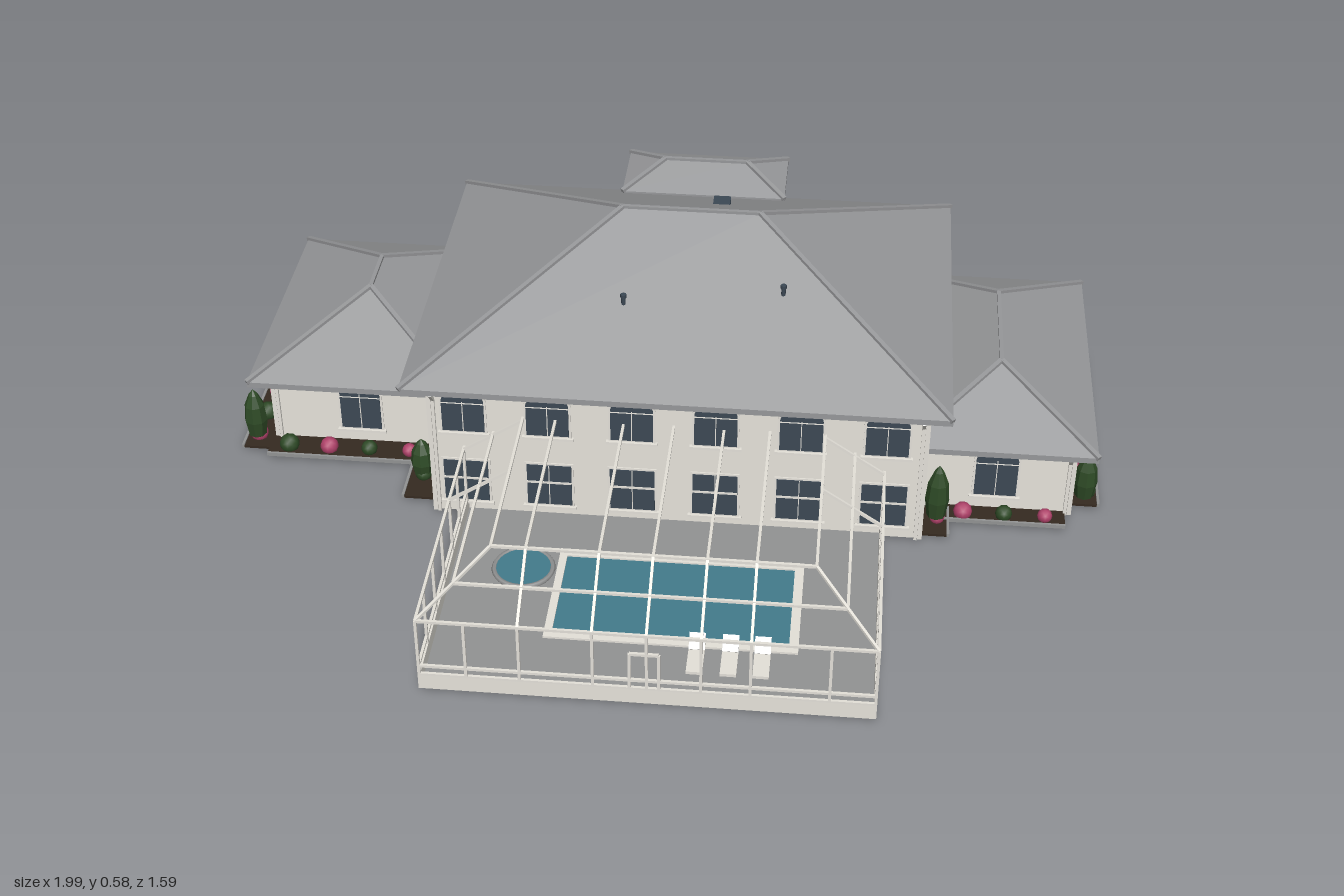
import * as THREE from 'three';

export function createModel() {
  const root = new THREE.Group();
  const mat = (name, color, side = THREE.FrontSide) => {
    const m = new THREE.MeshStandardMaterial({ color, side });
    m.name = name;
    return m;
  };
  const M = {
    wall: mat('stucco', 0xe6e3db, THREE.DoubleSide), roof: mat('roofSlate', 0x97989a),
    trim: mat('trim', 0xe4e1d9), deck: mat('paving', 0x929393),
    glass: mat('glass', 0x3c4854), water: mat('water', 0x437b8c),
    leaf: mat('foliage', 0x2e4a26), pink: mat('blossom', 0xb0426a),
    soil: mat('soil', 0x352a20), wood: mat('doorWood', 0x5f4530),
  };
  const add = (name, geo, m, x = 0, y = 0, z = 0, parent = root) => {
    const mesh = new THREE.Mesh(geo, m);
    mesh.name = name;
    mesh.position.set(x, y, z);
    parent.add(mesh);
    return mesh;
  };
  // box given by its limits
  const box = (name, x0, x1, y0, y1, z0, z1, m, parent = root) =>
    add(name, new THREE.BoxGeometry(x1 - x0, y1 - y0, z1 - z0), m,
      (x0 + x1) / 2, (y0 + y1) / 2, (z0 + z1) / 2, parent);
  const group = (name, x, y, z, rot) => {
    const g = new THREE.Group();
    g.name = name;
    g.position.set(x, y, z);
    g.rotation.y = rot;
    root.add(g);
    return g;
  };
  // straight square bar between two points
  const bar = (name, a, b, t, m, parent = root) => {
    const p = new THREE.Vector3(...a), q = new THREE.Vector3(...b);
    const mid = p.clone().add(q).multiplyScalar(0.5);
    add(name, new THREE.BoxGeometry(t, t, p.distanceTo(q)), m, mid.x, mid.y, mid.z, parent).lookAt(q);
  };

  // open-bottomed wall shells with corner trim
  function walls(name, x0, x1, z0, z1, h) {
    const mesh = box(name, x0, x1, 0, h, z0, z1, M.wall), i = Array.from(mesh.geometry.index.array);
    mesh.geometry.setIndex([...i.slice(0, 12), ...i.slice(24)]);
    mesh.geometry.clearGroups();
    for (const x of [x0, x1]) for (const z of [z0, z1])
      box('cornerTrim', x - 0.005, x + 0.005, 0, h, z - 0.005, z + 0.005, M.trim);
  }
  // hipped roof: slate slopes and fascia, pale soffit, ridge caps
  function hipRoof(name, x0, x1, z0, z1, y0, y2) {
    const y1 = y0 + 0.014, r = Math.min(x1 - x0, z1 - z0) / 2, alongX = x1 - x0 > z1 - z0;
    const base = [[x0, z1], [x1, z1], [x1, z0], [x0, z0]];
    const A = [x0 + r, y2, z1 - r], B = [x1 - r, y2, z0 + r];
    const tops = alongX ? [[A, B], [B], [B, A], [A]] : [[A], [A, B], [B], [B, A]];
    const pos = [];
    const face = (...p) => {
      for (let i = 1; i < p.length - 1; i++) pos.push(...p[0], ...p[i], ...p[i + 1]);
    };
    const at = (i, y) => [base[i % 4][0], y, base[i % 4][1]];
    for (let i = 0; i < 4; i++) {
      face(at(i, y0), at(i + 1, y0), at(i + 1, y1), at(i, y1));
      face(at(i, y1), at(i + 1, y1), ...[...tops[i]].reverse());
    }
    const outside = pos.length / 3;
    face(at(3, y0), at(2, y0), at(1, y0), at(0, y0));
    const g = new THREE.BufferGeometry();
    g.setAttribute('position', new THREE.Float32BufferAttribute(pos, 3));
    g.addGroup(0, outside, 0);
    g.addGroup(outside, 6, 1);
    g.computeVertexNormals();
    add(name, g, [M.roof, M.trim]);
    bar('ridgeCap', A, B, 0.009, M.roof);
    for (let i = 0; i < 4; i++) bar('hipCap', at(i, y1), (alongX ? i % 3 === 0 : i < 2) ? A : B, 0.011, M.roof);
  }
  walls('mainWalls', -0.5, 0.59, -0.605, 0.21, 0.345);
  hipRoof('mainRoof', -0.56, 0.64, -0.65, 0.24, 0.335, 0.57);
  walls('garageWalls', -0.92, -0.5, -0.565, -0.02, 0.178);
  hipRoof('garageRoof', -0.967, -0.47, -0.605, 0.025, 0.172, 0.305);
  walls('sideWingWalls', 0.59, 0.925, -0.55, 0.09, 0.178);
  hipRoof('sideWingRoof', 0.54, 0.972, -0.59, 0.125, 0.172, 0.285);
  walls('entryWalls', -0.13, 0.205, -0.73, -0.605, 0.388);
  hipRoof('entryRoof', -0.16, 0.235, -0.76, -0.565, 0.382, 0.437);
  box('entryStep', -0.04, 0.12, 0, 0.012, -0.8, -0.73, M.deck);

  // downspouts with an elbow up to the eaves: x, wall z, outward direction, eave height
  for (const [x, z, d, h] of [[-0.49, 0.21, 1, 0.335], [0.58, 0.21, 1, 0.335], [-0.91, -0.02, 1, 0.172],
    [0.915, 0.09, 1, 0.172], [0.915, -0.55, -1, 0.172], [-0.12, -0.73, -1, 0.382], [0.195, -0.73, -1, 0.382],
    [0.58, -0.605, -1, 0.335], [-0.49, -0.605, -1, 0.335]]) {
    bar('downspout', [x, 0, z + d * 0.005], [x, h - 0.025, z + d * 0.005], 0.007, M.trim);
    bar('downspoutElbow', [x, h - 0.026, z + d * 0.005], [x, h, z + d * 0.027], 0.007, M.trim);
  }

  // roof vents
  for (const [x, y, z] of [[-0.09, 0.46, 0.02], [0.26, 0.48, -0.02]]) {
    add('ventPipe', new THREE.CylinderGeometry(0.005, 0.005, 0.04, 8), M.glass, x, y, z);
    add('ventCap', new THREE.CylinderGeometry(0.007, 0.007, 0.008, 8), M.glass, x, y + 0.018, z);
  }
  box('roofVent', 0.075, 0.115, 0.44, 0.48, -0.425, -0.385, M.glass);

  // windows: flat or arched, facing local +z
  function pane(name, w, h, rise, depth, m, y, parent) {
    const s = new THREE.Shape();
    s.moveTo(-w / 2, 0);
    s.lineTo(w / 2, 0);
    s.lineTo(w / 2, h - rise);
    if (rise) s.absellipse(0, h - rise, w / 2, rise, 0, Math.PI, false);
    else s.lineTo(-w / 2, h);
    add(name, new THREE.ExtrudeGeometry(s, { depth, bevelEnabled: false, curveSegments: 12 }), m, 0, y, 0.001, parent);
  }
  function win(x, y, z, rot, w, h, rise, cols, split, rail) {
    const g = group('window', x, y, z, rot);
    pane('windowFrame', w + 0.01, h + 0.01, rise && rise + 0.005, 0.003, M.trim, -0.005, g);
    pane('windowGlass', w, h, rise, 0.005, M.glass, 0, g);
    for (let i = 1; i < cols; i++) {
      const mx = -w / 2 + w * i / cols;
      box('mullion', mx - 0.001, mx + 0.001, 0, h - rise, 0.005, 0.008, M.trim, g);
    }
    box('transom', -w / 2, w / 2, h * split - rail / 2, h * split + rail / 2, 0.005, 0.008, M.trim, g);
    box('sill', -w / 2 - 0.01, w / 2 + 0.01, -0.01, -0.004, 0.001, 0.01, M.trim, g);
  }
  const BACK = Math.PI, R = Math.PI / 2;
  const arched = (x, y, z) => win(x, y, z, 0, 0.094, y > 0.2 ? 0.105 : 0.122, 0.026, 2, 0.72, 0.0015);
  const sash = (x, y, z, rot) => win(x, y, z, rot, 0.067, 0.09, 0, 1, 0.5, 0.007);
  for (const x of [-0.425, -0.238, -0.052, 0.132, 0.318, 0.505]) {
    arched(x, 0.228, 0.21);
    win(x, 0.037, 0.21, 0, 0.1, 0.108, 0, 2, 0.57, 0.005);
  }
  arched(-0.715, 0.045, -0.02);
  arched(0.755, 0.045, 0.09);
  for (const z of [-0.07, -0.385]) sash(0.925, 0.056, z, R);
  for (const z of [-0.15, -0.42]) sash(-0.92, 0.056, z, -R);
  for (const y of [0.056, 0.262]) {
    for (const x of [-0.4, -0.23, 0.31, 0.48]) sash(x, y, -0.605, BACK);
    sash(0.205, y, -0.662, R);
    sash(-0.13, y, -0.662, -R);
  }
  sash(0.755, 0.056, -0.55, BACK);

  // arched front door with glazed surround
  const door = group('entryDoor', 0.038, 0.012, -0.73, BACK);
  pane('doorSurround', 0.13, 0.168, 0.054, 0.006, M.trim, 0, door);
  pane('doorGlazing', 0.114, 0.16, 0.05, 0.008, M.glass, 0, door);
  for (const s of [-1, 1]) box('doorLeaf', s * 0.0195 - 0.018, s * 0.0195 + 0.018, 0, 0.108, 0.001, 0.013, M.wood, door);
  // garage doors framed by proud trim
  for (const x of [-0.81, -0.62]) {
    const g = group('garageDoor', x, 0, -0.565, BACK);
    box('garagePanel', -0.08, 0.08, 0, 0.135, 0.001, 0.004, M.wall, g);
    box('garageLintel', -0.088, 0.088, 0.132, 0.142, 0.001, 0.01, M.trim, g);
    for (const s of [-1, 1]) box('garageJamb', s * 0.083 - 0.005, s * 0.083 + 0.005, 0, 0.132, 0.001, 0.01, M.trim, g);
  }
  // wall lanterns
  for (const [x, y, z] of [[-0.91, 0.12, -0.572], [-0.715, 0.12, -0.572], [-0.525, 0.12, -0.572],
    [-0.06, 0.12, -0.737], [0.136, 0.12, -0.737]])
    box('lantern', x - 0.005, x + 0.005, y - 0.01, y + 0.01, z - 0.007, z + 0.006, M.glass);

  // pool terrace with an opening for the water
  const DX0 = -0.427, DX1 = 0.503, DZ = 0.79;
  const rect = (T, x0, x1, z0, z1) =>
    new T([[x0, -z0], [x1, -z0], [x1, -z1], [x0, -z1]].map(p => new THREE.Vector2(...p)));
  const deck = rect(THREE.Shape, DX0, DX1, 0.21, DZ);
  deck.holes.push(rect(THREE.Path, -0.18, 0.32, 0.36, 0.605));
  add('terrace', new THREE.ExtrudeGeometry(deck, { depth: 0.008, bevelEnabled: false }), M.deck).rotation.x = -R;
  box('poolWater', -0.18, 0.32, 0.001, 0.009, 0.36, 0.605, M.water);
  for (const [a, b, c, d] of [[-0.197, 0.34, 0.338, 0.36], [-0.197, 0.34, 0.605, 0.627],
    [-0.197, -0.18, 0.36, 0.605], [0.32, 0.34, 0.36, 0.605]])
    box('poolCoping', a, b, 0.002, 0.013, c, d, M.trim);
  add('spaWater', new THREE.CylinderGeometry(0.062, 0.062, 0.01, 28), M.water, -0.27, 0.01, 0.41);
  add('spaCoping', new THREE.TorusGeometry(0.064, 0.006, 6, 28), M.deck, -0.27, 0.012, 0.41).rotation.x = R;
  // loungers
  for (const x of [0.13, 0.2, 0.267]) {
    box('loungerSeat', x - 0.017, x + 0.017, 0.02, 0.027, 0.65, 0.72, M.trim);
    bar('loungerBase', [x, 0.008, 0.69], [x, 0.022, 0.69], 0.02, M.trim);
    const back = box('loungerBack', x - 0.017, x + 0.017, 0.022, 0.028, 0.62, 0.656, M.trim);
    back.rotation.x = 0.7;
    back.position.y = 0.038;
  }

  // pool enclosure: posts, sloped rafters and flat top
  const cage = group('poolEnclosure', 0, 0, 0, 0);
  const IX0 = -0.292, IX1 = 0.37, IZ = 0.65, LOW = 0.18, TOP = 0.27, T = 0.006;
  const beam = (a, b) => bar('enclosureBar', a, b, T, M.trim, cage);
  for (const [y, x0, x1, z] of [[0.038, DX0, DX1, DZ], [0.06, DX0, DX1, DZ], [LOW, DX0, DX1, DZ],
    [0.225, (DX0 + IX0) / 2, (DX1 + IX1) / 2, (DZ + IZ) / 2], [TOP, IX0, IX1, IZ]]) {
    beam([x0, y, z], [x1, y, z]);
    for (const x of [x0, x1]) beam([x, y, 0.21], [x, y, z]);
  }
  for (const [x, ix] of [[DX0, IX0], [DX1, IX1]]) {
    for (const z of [0.22, 0.31, 0.4, 0.5, 0.6, 0.7, DZ]) beam([x, 0, z], [x, LOW, z]);
    for (const z of [0.22, 0.4]) beam([x, LOW, z], [ix, TOP, z]);
    beam([x, LOW, DZ], [ix, TOP, IZ]);
    box('kickPanel', x - 0.003, x + 0.003, 0, 0.036, 0.21, DZ, M.wall, cage);
  }
  box('kickPanel', DX0, DX1, 0, 0.036, DZ - 0.003, DZ + 0.003, M.wall, cage);
  for (const x of [-0.33, -0.22, -0.07, 0.04, 0.15, 0.25, 0.41]) {
    beam([x, 0, DZ], [x, LOW, DZ]);
    if (x > IX0 && x < IX1) {
      beam([x, LOW, DZ], [x, TOP, IZ]);
      beam([x, TOP, 0.21], [x, TOP, IZ]);
    }
  }
  for (const x of [0.005, 0.065]) beam([x, 0, DZ], [x, 0.13, DZ]);
  beam([0.005, 0.13, DZ], [0.065, 0.13, DZ]);

  // planting beds: x0, x1, z0, z1
  const beds = [[-0.5, -0.13, -0.68, -0.605], [0.205, 0.59, -0.68, -0.605], [0.6, 0.92, -0.62, -0.55],
    [0.925, 0.99, -0.53, 0.06], [-0.99, -0.92, -0.56, 0.03], [-0.93, -0.55, -0.02, 0.05],
    [0.64, 0.915, 0.09, 0.14], [-0.58, -0.5, 0.03, 0.18], [0.59, 0.65, 0.1, 0.2]];
  const bush = new THREE.IcosahedronGeometry(0.019, 1);
  beds.forEach(([x0, x1, z0, z1], k) => {
    box('plantingBed', x0, x1, 0, 0.006, z0, z1, M.soil);
    const alongX = x1 - x0 > z1 - z0, len = Math.max(x1 - x0, z1 - z0), n = Math.floor(len / 0.078);
    if (!alongX) {
      const x = x0 < 0 ? x0 - 0.006 : x1;
      box('bedEdging', x, x + 0.006, 0, 0.009, z0, z1, M.deck);
    } else {
      const z = z0 < -0.5 ? z0 - 0.006 : z1;
      box('bedEdging', x0, x1, 0, 0.009, z, z + 0.006, M.deck);
    }
    // shrubs toward the outer side of the bed
    const out = alongX ? Math.sign(z0 + z1 + 0.3) : Math.sign(x0);
    for (let i = 0; i < n; i++) {
      const s = 0.9 + 0.35 * ((i * 7 + k * 3) % 4) / 3, flower = (i + k) % 2 === 0, t = (i + 0.5) / n * len;
      const x = alongX ? x0 + t : (x0 + x1) / 2 + 0.008 * out;
      const z = alongX ? (z0 + z1) / 2 + 0.008 * out : z0 + t;
      add(flower ? 'floweringShrub' : 'shrub', bush, flower ? M.pink : M.leaf, x, 0.016, z).scale.setScalar(s);
    }
  });
  // cypress trees
  const profile = [[0.004, 0], [0.005, 0.06], [0.021, 0.14], [0.027, 0.42], [0.023, 0.7], [0.011, 0.9], [0, 1]];
  const tree = new THREE.LatheGeometry(profile.map(p => new THREE.Vector2(...p)), 8).toNonIndexed();
  tree.computeVertexNormals();
  for (const [x, z, h] of [[0.625, 0.15, 0.16], [0.96, 0.04, 0.135], [0.96, -0.48, 0.145], [0.89, -0.588, 0.11],
    [0.56, -0.642, 0.125], [-0.47, -0.642, 0.125], [-0.965, -0.005, 0.145], [-0.965, -0.52, 0.145],
    [-0.55, 0.1, 0.11], [0.63, -0.588, 0.11]])
    add('cypress', tree, M.leaf, x, 0, z).scale.set(1, h, 1);

  return root;
}
